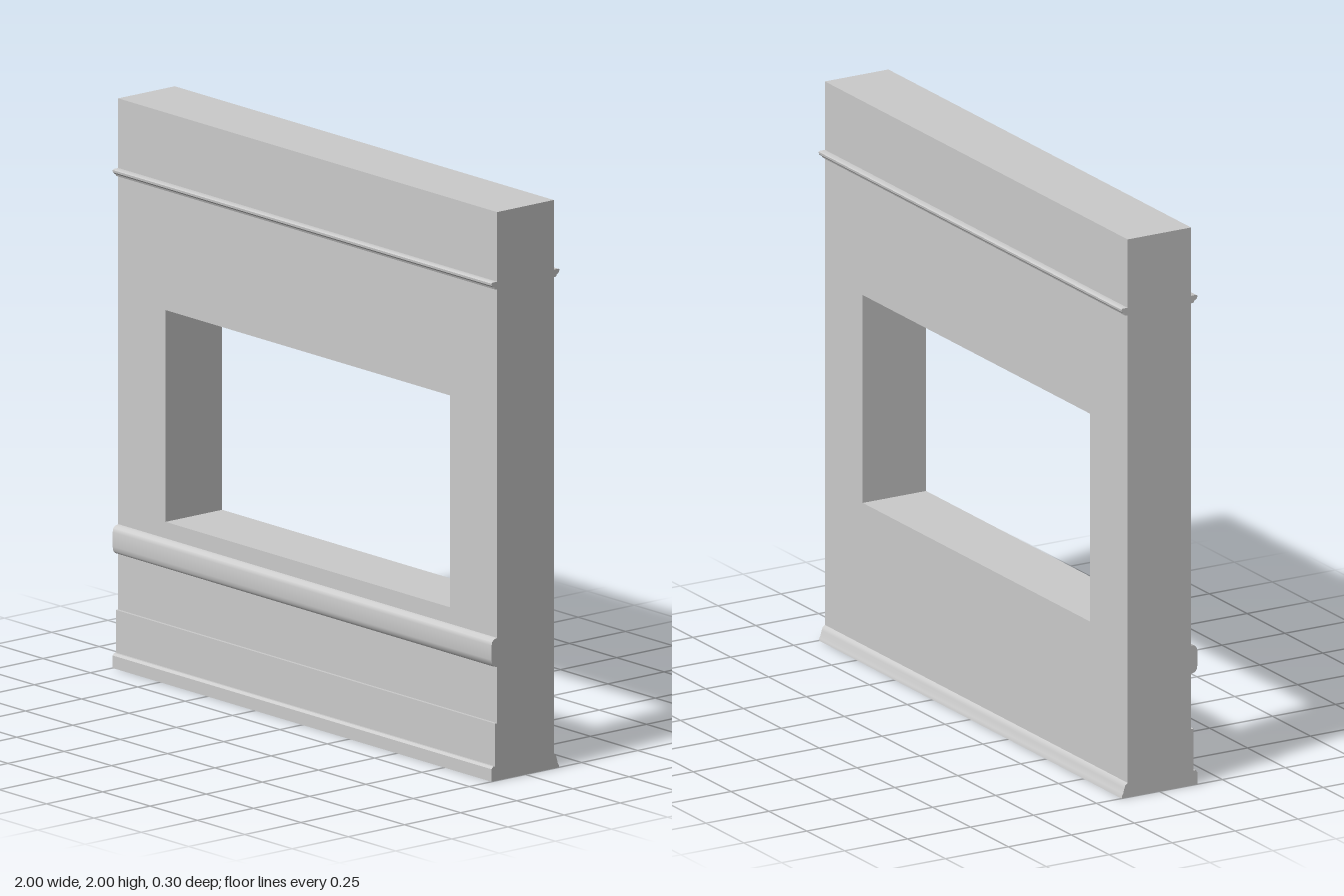
import * as THREE from 'three';
import { toCreasedNormals } from 'three/addons/utils/BufferGeometryUtils.js';

const FACE = 0.126; // half thickness of the wall
const material = new THREE.MeshStandardMaterial({ color: 0xcccccc });

// Runs a trim profile of [projection, height] points along the whole wall.
// side = 1 puts it on the front, -1 on the back.
function trim(name, points, side = 1) {
  const shape = new THREE.Shape(points.map(([out, y]) => new THREE.Vector2(side * (FACE + out), y)));
  let geometry = new THREE.ExtrudeGeometry(shape, { depth: 2, bevelEnabled: false });
  geometry.rotateY(-Math.PI / 2).translate(1, 0, 0);
  geometry = toCreasedNormals(geometry, 0.6);
  const mesh = new THREE.Mesh(geometry, material);
  mesh.name = name;
  return mesh;
}

export function createModel() {
  const group = new THREE.Group();
  group.name = 'wallPanel';

  // Wall slab with a rectangular window opening
  const outline = new THREE.Shape([[-1, 0], [1, 0], [1, 2], [-1, 2]].map(p => new THREE.Vector2(...p)));
  outline.holes.push(new THREE.Path(
    [[-0.75, 0.56], [-0.75, 1.305], [0.75, 1.305], [0.75, 0.56]].map(p => new THREE.Vector2(...p))));
  const slab = new THREE.ExtrudeGeometry(outline, { depth: 2 * FACE, bevelEnabled: false });
  slab.translate(0, 0, -FACE);
  const wall = new THREE.Mesh(slab, material);
  wall.name = 'wall';
  group.add(wall);

  // Picture rail, the same on both faces
  const rail = [[0, 1.728], [0.01, 1.729], [0.013, 1.736], [0.019, 1.739],
    [0.024, 1.744], [0.025, 1.752], [0.02, 1.755], [0, 1.755]];
  group.add(trim('frontPictureRail', rail), trim('backPictureRail', rail, -1));

  // Rounded chair rail below the window
  group.add(trim('chairRail', [[0, 0.4], [0.014, 0.403], [0.022, 0.412], [0.025, 0.428],
    [0.025, 0.478], [0.022, 0.491], [0.014, 0.499], [0, 0.502]]));

  // Front skirting board with a thicker foot
  group.add(trim('frontSkirting', [[0, 0], [0.025, 0], [0.025, 0.044], [0.018, 0.052],
    [0.01, 0.052], [0.01, 0.202], [0, 0.202]]));

  // Sloping skirting on the back
  group.add(trim('backSkirting', [[0, 0], [0.024, 0], [0.022, 0.009], [0.018, 0.016],
    [0.013, 0.034], [0.009, 0.045], [0, 0.052]], -1));

  return group;
}
